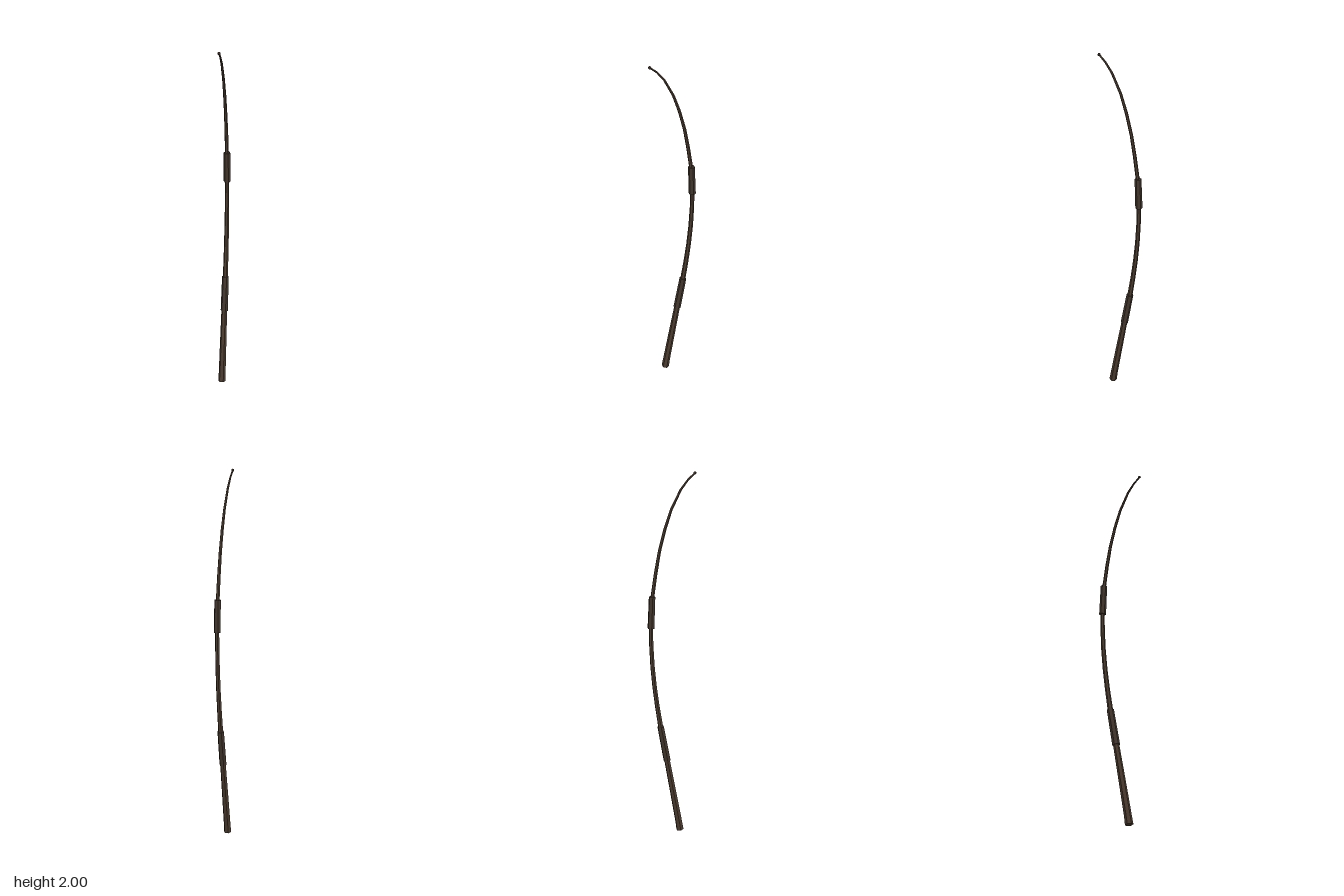
import * as THREE from 'three';

const SIDES = 6;

// Hexagonal rod swept along rings of [y, z, radius], bending only in the YZ plane
function hexRod(rings) {
  const pos = [], index = [];
  const n = rings.length;
  rings.forEach(([y, z, r], i) => {
    const a = rings[Math.max(i - 1, 0)], b = rings[Math.min(i + 1, n - 1)];
    const len = Math.hypot(b[0] - a[0], b[1] - a[1]);
    const ty = (b[0] - a[0]) / len, tz = (b[1] - a[1]) / len;
    for (let k = 0; k < SIDES; k++) {
      const t = (k / SIDES) * Math.PI * 2;
      const s = Math.sin(t) * r;
      pos.push(Math.cos(t) * r, y - tz * s, z + ty * s);
    }
  });
  for (let i = 0; i < n - 1; i++) {
    for (let k = 0; k < SIDES; k++) {
      const a = i * SIDES + k, b = i * SIDES + (k + 1) % SIDES;
      index.push(a, a + SIDES, b, b, a + SIDES, b + SIDES);
    }
  }
  // End caps
  const top = (n - 1) * SIDES;
  for (let k = 1; k < SIDES - 1; k++) {
    index.push(0, k, k + 1, top, top + k + 1, top + k);
  }
  const g = new THREE.BufferGeometry();
  g.setAttribute('position', new THREE.Float32BufferAttribute(pos, 3));
  g.setIndex(index);
  const flat = g.toNonIndexed();
  flat.computeVertexNormals();
  return flat;
}

export function createModel() {
  const group = new THREE.Group();
  const wood = new THREE.MeshStandardMaterial({ name: 'dark wood', color: 0x4a3a2d });
  const wrap = new THREE.MeshStandardMaterial({ name: 'grip wrap', color: 0x42362c });

  const add = (name, geometry, material) => {
    const mesh = new THREE.Mesh(geometry, material);
    mesh.name = name;
    group.add(mesh);
    return mesh;
  };

  // Tapering curved pole, from the butt to the hooked tip
  add('pole', hexRod([
    [0.004, 0.047, 0.021], [0.05, 0.04, 0.0195], [0.23, 0.009, 0.018],
    [0.43, -0.026, 0.016], [0.63, -0.061, 0.014], [0.75, -0.079, 0.013],
    [0.86, -0.093, 0.0125], [0.98, -0.104, 0.012], [1.1, -0.11, 0.0115],
    [1.19, -0.111, 0.011], [1.36, -0.102, 0.01], [1.48, -0.085, 0.0095],
    [1.6, -0.064, 0.0085], [1.71, -0.036, 0.008], [1.81, -0.003, 0.007],
    [1.91, 0.046, 0.006], [1.96, 0.084, 0.005], [1.992, 0.119, 0.0045],
  ]), wood);

  // Wrapped grips
  add('lowerGrip', hexRod([[0.43, -0.026, 0.02], [0.63, -0.061, 0.0185]]), wrap);
  add('upperGrip', hexRod([[1.19, -0.111, 0.0185], [1.36, -0.104, 0.0175]]), wrap);

  // Small knob at the tip
  const knob = add('tipKnob', new THREE.SphereGeometry(0.0078, 8, 6).toNonIndexed(), wood);
  knob.geometry.computeVertexNormals();
  knob.position.set(0, 1.992, 0.119);

  return group;
}
